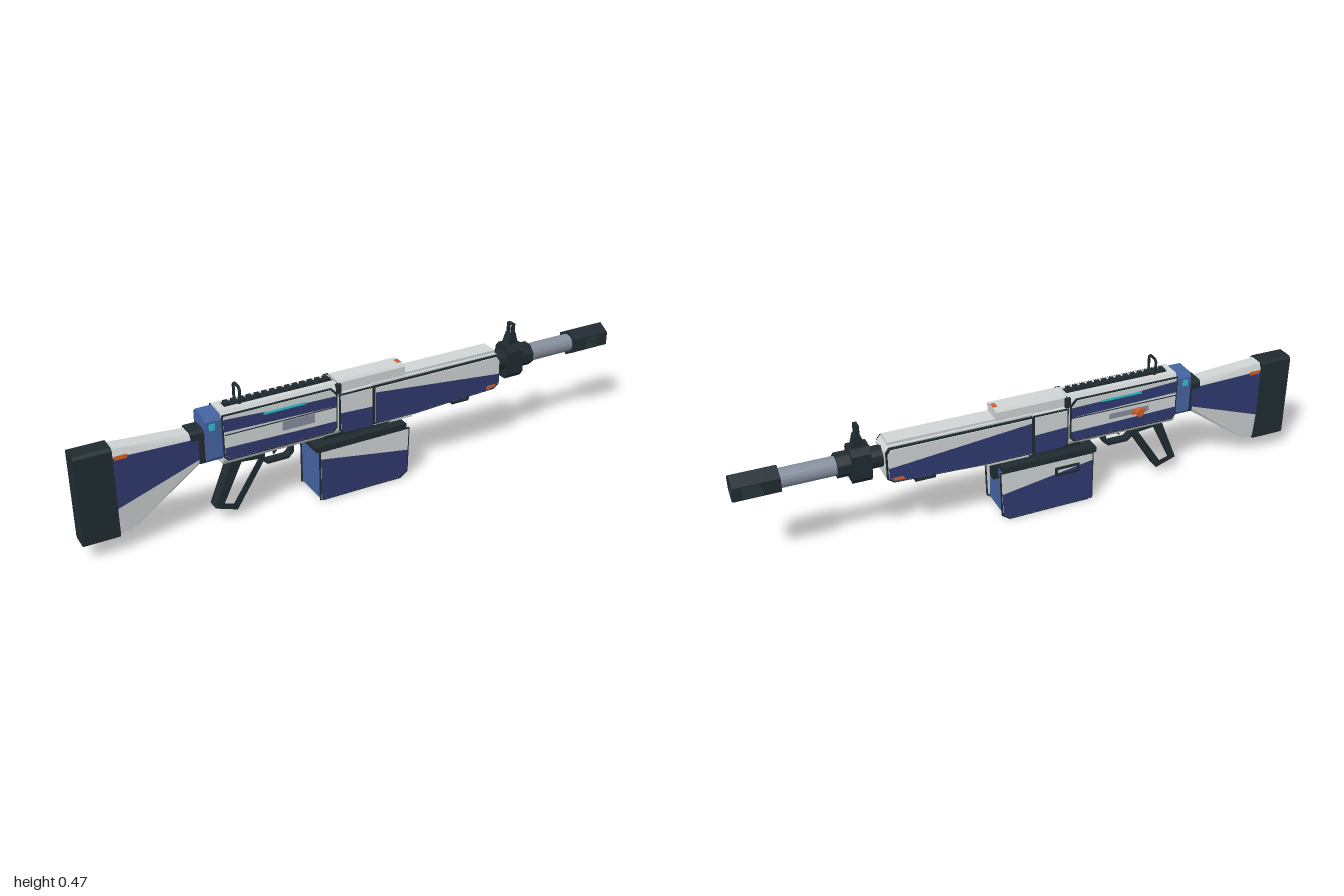
import * as THREE from 'three';
import { ConvexGeometry } from 'three/addons/geometries/ConvexGeometry.js';

const mat = (name, color) => {
  const m = new THREE.MeshStandardMaterial({ color, flatShading: true });
  m.name = name;
  return m;
};

export function createModel() {
  const white = mat('paleGrey', 0xd0d4d5), navy = mat('navy', 0x2f3a70), blue = mat('blue', 0x4564a2);
  const black = mat('charcoal', 0x202b31), steel = mat('steel', 0x868f9e);
  const orange = mat('orange', 0xd0602f), cyan = mat('cyan', 0x2fc4d0);
  const root = new THREE.Group();

  const add = (name, geo, m, x = 0, y = 0, z = 0) => {
    const mesh = new THREE.Mesh(geo, m);
    mesh.name = name;
    mesh.position.set(x, y, z);
    root.add(mesh);
    return mesh;
  };
  // box given by its limits
  const box = (name, m, x0, x1, y0, y1, z0, z1) =>
    add(name, new THREE.BoxGeometry(x1 - x0, y1 - y0, z1 - z0), m, (x0 + x1) / 2, (y0 + y1) / 2, (z0 + z1) / 2);
  const shapeOf = (pts, hole) => {
    const s = new THREE.Shape(pts.map(p => new THREE.Vector2(...p)));
    if (hole) s.holes.push(new THREE.Path(hole.map(p => new THREE.Vector2(...p))));
    return s;
  };
  const extrude = (pts, depth, hole) =>
    new THREE.ExtrudeGeometry(shapeOf(pts, hole), { depth, bevelEnabled: false });
  // side profile extruded from z0 to z1
  const slab = (name, m, pts, z0, z1, hole) => add(name, extrude(pts, z1 - z0, hole), m, 0, 0, z0);
  const bothSides = (name, m, pts, z, t) => {
    slab(name, m, pts, z, z + t);
    slab(name, m, pts, -z - t, -z);
  };
  // cross-section (z, y) extruded along x
  const beam = (name, m, pts, x0, x1, hole) =>
    add(name, extrude(pts, x1 - x0, hole).rotateY(Math.PI / 2), m, x0);
  const tubeX = (name, m, r, x0, x1, sides, y = 0.323, turn = 0) =>
    add(name, new THREE.CylinderGeometry(r, r, x1 - x0, sides).rotateY(turn).rotateZ(Math.PI / 2), m, (x0 + x1) / 2, y);
  // chamfered symmetric section
  const section = (w, y0, y1, cx, cy) => [
    [-w + cx, y0], [w - cx, y0], [w, y0 + cy], [w, y1 - cy], [w - cx, y1], [-w + cx, y1], [-w, y1 - cy], [-w, y0 + cy]];
  const rect = (x0, x1, y0, y1) => [[x0, y0], [x1, y0], [x1, y1], [x0, y1]];
  // pale panel with a dark border and navy patches, on both sides
  const panel = (name, outline, patches, z, t) => {
    const cx = outline.reduce((a, p) => a + p[0], 0) / outline.length;
    const cy = outline.reduce((a, p) => a + p[1], 0) / outline.length;
    const rim = outline.map(([x, y]) => [x + 0.005 * Math.sign(x - cx), y + 0.005 * Math.sign(y - cy)]);
    bothSides(name + 'Rim', black, rim, z, t * 0.7);
    bothSides(name, white, outline, z, t);
    for (const p of patches) bothSides(name + 'Paint', navy, p, z + t, 0.001);
  };

  // Butt pad and stock
  beam('buttPad', black, section(0.036, 0.062, 0.377, 0.008, 0.008), -1, -0.88);
  const stockPts = [];
  for (const s of [-1, 1]) {
    for (const [x, y, z] of [[-0.88, 0.372, 0.024], [-0.88, 0.345, 0.033], [-0.88, 0.165, 0.033], [-0.88, 0.07, 0.024],
      [-0.84, 0.07, 0.024], [-0.59, 0.25, 0.024], [-0.59, 0.265, 0.033], [-0.59, 0.335, 0.033], [-0.59, 0.352, 0.024]])
      stockPts.push(new THREE.Vector3(x, y, z * s));
  }
  add('stock', new ConvexGeometry(stockPts), white);
  bothSides('stockPaint', navy, [[-0.88, 0.165], [-0.6, 0.263], [-0.6, 0.335], [-0.88, 0.343]], 0.033, 0.001);
  bothSides('stockTag', orange, rect(-0.875, -0.835, 0.335, 0.348), 0.033, 0.003);
  beam('stockNeck', black, section(0.036, 0.325, 0.362, 0.008, 0.008), -0.63, -0.58);
  box('stockNeckLower', black, -0.605, -0.58, 0.245, 0.33, -0.034, 0.034);

  // Rear collar
  beam('collar', blue, section(0.046, 0.245, 0.405, 0.012, 0.015), -0.585, -0.53);
  bothSides('collarLight', cyan, rect(-0.573, -0.553, 0.36, 0.382), 0.046, 0.002);

  // Receiver
  beam('receiver', white, section(0.045, 0.222, 0.412, 0.012, 0.02), -0.53, -0.12);
  panel('receiverPanel', [[-0.525, 0.26], [-0.51, 0.245], [-0.145, 0.245], [-0.13, 0.26], [-0.13, 0.375], [-0.15, 0.398], [-0.525, 0.398]],
    [[[-0.525, 0.345], [-0.13, 0.336], [-0.13, 0.372], [-0.3, 0.376], [-0.525, 0.388]],
      [[-0.525, 0.262], [-0.51, 0.246], [-0.145, 0.246], [-0.13, 0.26], [-0.13, 0.28], [-0.525, 0.288]]], 0.045, 0.006);
  bothSides('receiverSeam', black, rect(-0.525, -0.13, 0.332, 0.335), 0.051, 0.0015);
  bothSides('lightStrip', cyan, rect(-0.39, -0.24, 0.372, 0.38), 0.0515, 0.002);
  slab('ejectionPort', steel, rect(-0.325, -0.21, 0.298, 0.33), 0.051, 0.054);
  slab('boltSlot', steel, rect(-0.42, -0.27, 0.298, 0.318), -0.053, -0.051);
  add('boltHandle', new THREE.CylinderGeometry(0.015, 0.015, 0.018, 10).rotateX(Math.PI / 2), orange, -0.38, 0.305, -0.06);
  box('boltHandleBar', orange, -0.405, -0.355, 0.298, 0.312, -0.058, -0.051);

  // Top rail
  box('rail', black, -0.505, -0.125, 0.408, 0.415, -0.014, 0.014);
  for (let i = 0; i < 14; i++) box('railTooth', black, -0.5 + i * 0.027, -0.484 + i * 0.027, 0.413, 0.422, -0.014, 0.014);
  beam('rearSight', black, section(0.026, 0.41, 0.474, 0.009, 0.01), -0.459, -0.451, section(0.021, 0.415, 0.469, 0.007, 0.008));

  // Mid section and top cover
  beam('midSection', white, section(0.046, 0.224, 0.378, 0.012, 0.02), -0.12, 0.01);
  panel('midPanel', [[-0.113, 0.245], [-0.1, 0.232], [0.005, 0.228], [0.005, 0.368], [-0.113, 0.368]],
    [[[-0.113, 0.245], [-0.1, 0.232], [0.005, 0.228], [0.005, 0.3], [-0.113, 0.305]]], 0.046, 0.006);
  beam('topCover', white, section(0.036, 0.37, 0.416, 0.006, 0.008), -0.115, 0.138);
  box('coverTag', orange, 0.122, 0.137, 0.414, 0.418, -0.012, 0.012);
  box('coverLatch', black, -0.127, -0.108, 0.375, 0.408, -0.048, 0.048);

  // Handguard
  const guard = [[0.01, 0.222], [0.18, 0.222], [0.49, 0.242], [0.52, 0.262], [0.52, 0.355], [0.505, 0.374], [0.01, 0.378]];
  slab('handguard', white, guard, -0.042, 0.042);
  box('handguardTop', white, 0.12, 0.505, 0.37, 0.384, -0.032, 0.032);
  panel('handguardPanel', [[0.017, 0.235], [0.18, 0.235], [0.49, 0.248], [0.512, 0.264], [0.512, 0.35], [0.5, 0.366], [0.017, 0.366]],
    [[[0.017, 0.236], [0.18, 0.236], [0.49, 0.249], [0.511, 0.265], [0.511, 0.3], [0.017, 0.35]]], 0.042, 0.012);
  bothSides('handguardTag', orange, [[0.46, 0.252], [0.495, 0.254], [0.5, 0.264], [0.465, 0.264]], 0.055, 0.002);
  box('underPlate', white, 0.02, 0.17, 0.212, 0.224, -0.035, 0.035);
  slab('slingLoop', black, rect(0.345, 0.415, 0.205, 0.24), -0.018, 0.018, rect(0.352, 0.408, 0.211, 0.231));

  // Barrel and front sight
  add('barrel', new THREE.CylinderGeometry(0.032, 0.032, 0.35, 20).rotateZ(Math.PI / 2), steel, 0.685, 0.323);
  tubeX('barrelRoot', black, 0.036, 0.515, 0.56, 12);
  beam('sightBlock', black, section(0.04, 0.257, 0.381, 0.016, 0.02), 0.56, 0.625);
  tubeX('sightCollar', black, 0.042, 0.625, 0.67, 8, 0.323, Math.PI / 8);
  slab('sightTower', black, [[0.568, 0.378], [0.615, 0.378], [0.604, 0.42], [0.584, 0.42]], -0.016, 0.016);
  beam('frontSight', black, rect(-0.015, 0.015, 0.415, 0.456), 0.586, 0.6, rect(-0.011, 0.011, 0.419, 0.452));
  add('sightPost', new THREE.ConeGeometry(0.003, 0.025, 6), steel, 0.593, 0.43);

  // Muzzle brake: hexagonal, open through the sides
  const R = 0.048, w = R * Math.cos(Math.PI / 6), cy = 0.323;
  const hex = [[0, cy - R], [w, cy - R / 2], [w, cy + R / 2], [0, cy + R], [-w, cy + R / 2], [-w, cy - R / 2]];
  const bore = Array.from({ length: 16 }, (_, i) => [0.02 * Math.cos(i * Math.PI / 8), cy + 0.02 * Math.sin(i * Math.PI / 8)]);
  beam('muzzleRear', black, hex, 0.85, 0.905);
  beam('muzzleFront', black, hex, 0.97, 1, bore);
  for (const s of [1, -1])
    beam('muzzleBridge', black, [[-w, cy + s * 0.022], [w, cy + s * 0.022], [w, cy + s * R / 2], [0, cy + s * R], [-w, cy + s * R / 2]], 0.9, 0.975);

  // Pistol grip and trigger
  slab('pistolGrip', black, [[-0.49, 0.228], [-0.375, 0.228], [-0.378, 0.195], [-0.482, 0.033], [-0.558, 0.06]], -0.022, 0.022,
    [[-0.46, 0.206], [-0.402, 0.2], [-0.494, 0.06], [-0.526, 0.07]]);
  slab('triggerGuard', black, [[-0.39, 0.23], [-0.385, 0.185], [-0.365, 0.167], [-0.29, 0.167], [-0.27, 0.185], [-0.268, 0.23]], -0.014, 0.014,
    [[-0.378, 0.222], [-0.374, 0.19], [-0.36, 0.178], [-0.295, 0.178], [-0.281, 0.19], [-0.28, 0.222]]);
  slab('trigger', black, [[-0.34, 0.225], [-0.32, 0.225], [-0.326, 0.205], [-0.338, 0.192], [-0.334, 0.208]], -0.006, 0.006);

  // Box magazine
  const mag = [[-0.2, 0.012], [-0.19, 0.003], [0.105, 0.003], [0.122, 0.018], [0.122, 0.195], [-0.2, 0.195]];
  slab('magazineBody', blue, mag, -0.067, 0.067);
  panel('magazinePanel', [[-0.2, 0.014], [0.1, 0.009], [0.13, 0.03], [0.135, 0.19], [-0.2, 0.19]],
    [[[-0.2, 0.015], [0.1, 0.01], [0.129, 0.03], [0.132, 0.11], [-0.2, 0.165]]], 0.067, 0.005);
  box('magazineLid', black, -0.215, 0.128, 0.192, 0.212, -0.07, 0.07);
  box('magazineNeck', black, -0.17, 0.09, 0.21, 0.228, -0.035, 0.035);
  box('magazineClip', black, 0.12, 0.142, 0.14, 0.192, -0.015, 0.015);
  box('magazineRelease', black, 0.09, 0.105, 0.205, 0.235, -0.006, 0.006);
  slab('magazineHandle', black, rect(-0.15, -0.06, 0.135, 0.168), -0.077, -0.071, rect(-0.142, -0.068, 0.143, 0.16));

  return root;
}
